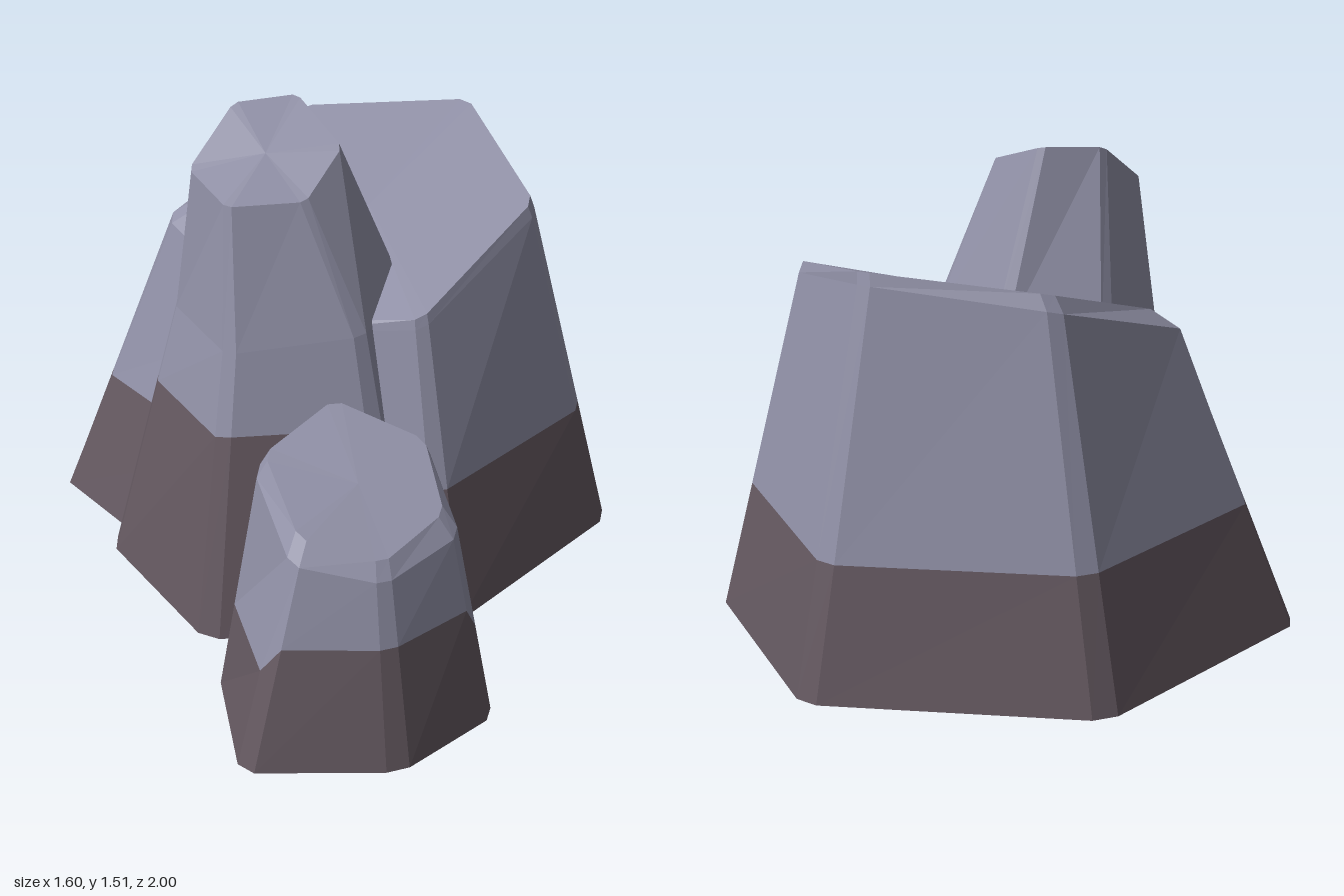
import * as THREE from 'three';

const stone = new THREE.MeshStandardMaterial({ color: 0x9090a6, flatShading: true, side: THREE.DoubleSide });
stone.name = 'greyStone';
const earth = new THREE.MeshStandardMaterial({ color: 0x645860, flatShading: true, side: THREE.DoubleSide });
earth.name = 'brownEarth';

// Corners run clockwise seen from above; each is cut into two points.
function chamfer(corners, cut) {
  const p = corners.map((c) => new THREE.Vector3(...c));
  const n = p.length;
  return p.flatMap((c, i) => [
    c.clone().lerp(p[(i + n - 1) % n], cut),
    c.clone().lerp(p[(i + 1) % n], cut),
  ]);
}

// Walls between successive rings, with an optional lid on the last one.
function skin(rings, lid) {
  const pts = [];
  for (let r = 0; r < rings.length - 1; r++) {
    const low = rings[r], high = rings[r + 1];
    low.forEach((a, i) => {
      const j = (i + 1) % low.length;
      pts.push(low[j], a, high[i], low[j], high[i], high[j]);
    });
  }
  if (lid) {
    const top = rings[rings.length - 1];
    const centre = new THREE.Vector3();
    top.forEach((v) => centre.addScaledVector(v, 1 / top.length));
    top.forEach((v, i) => pts.push(centre, top[(i + 1) % top.length], v));
  }
  const g = new THREE.BufferGeometry().setFromPoints(pts);
  g.computeVertexNormals();
  return g;
}

// A rock: brown foot up to the colour line (one height per side), grey above.
function rock(name, { base, shoulder, cap, line, cut }) {
  const foot = chamfer(base, cut);
  const mid = chamfer(shoulder, cut);
  const top = chamfer(cap, cut);
  const edge = foot.map((v, i) => {
    const side = Math.floor(((i + 11) % 12) / 2);
    return v.clone().lerp(mid[i], (line[side] - v.y) / (mid[i].y - v.y));
  });
  const group = new THREE.Group();
  group.name = name;
  const lower = new THREE.Mesh(skin([foot, edge], false), earth);
  lower.name = name + 'Foot';
  const upper = new THREE.Mesh(skin([edge, mid, top], true), stone);
  upper.name = name + 'Top';
  group.add(lower, upper);
  return group;
}

export function createModel() {
  const model = new THREE.Group();
  model.name = 'rockCluster';

  // Broad boulder with a sloping top
  model.add(rock('largeRock', {
    base: [[0.11, 0.1, -1.01], [0.8, 0.1, -0.51], [0.69, 0.1, 0.28], [-0.02, 0.1, 0.58], [-0.6, 0.1, 0.03], [-0.74, 0.1, -0.71]],
    shoulder: [[0.115, 1.19, -0.72], [0.55, 1.25, -0.41], [0.49, 1.14, 0.13], [0, 0.96, 0.33], [-0.32, 0.9, 0.05], [-0.41, 1.02, -0.56]],
    cap: [[0.12, 1.235, -0.69], [0.545, 1.285, -0.4], [0.48, 1.175, 0.12], [0, 0.99, 0.32], [-0.28, 0.93, 0.06], [-0.33, 1.08, -0.52]],
    line: [0.49, 0.49, 0.49, 0.49, 0.49, 0.49],
    cut: 0.05,
  }));

  // Tall leaning spire
  model.add(rock('tallRock', {
    base: [[-0.23, 0.08, -0.64], [0.26, 0.08, -0.42], [0.33, 0.08, 0.2], [-0.13, 0.08, 0.5], [-0.69, 0.08, 0.29], [-0.74, 0.08, -0.32]],
    shoulder: [[-0.24, 0.95, -0.42], [0.04, 1.0, -0.27], [0.08, 0.97, 0.07], [-0.16, 0.95, 0.27], [-0.53, 0.92, 0.14], [-0.54, 0.92, -0.22]],
    cap: [[-0.31, 1.5, -0.26], [-0.13, 1.51, -0.21], [-0.1, 1.43, 0.02], [-0.26, 1.33, 0.11], [-0.475, 1.33, 0.04], [-0.495, 1.365, -0.17]],
    line: [0.66, 0.66, 0.66, 0.68, 0.67, 0.66],
    cut: 0.07,
  }));

  // Small front stone with a bevelled top
  model.add(rock('smallRock', {
    base: [[-0.33, 0, 0.26], [0.01, 0, 0.49], [-0.06, 0, 0.9], [-0.42, 0, 1.01], [-0.82, 0, 0.81], [-0.68, 0, 0.36]],
    shoulder: [[-0.32, 0.8, 0.36], [-0.1, 0.72, 0.55], [-0.14, 0.59, 0.82], [-0.41, 0.55, 0.89], [-0.63, 0.6, 0.76], [-0.59, 0.72, 0.44]],
    cap: [[-0.31, 0.84, 0.38], [-0.12, 0.76, 0.57], [-0.17, 0.65, 0.78], [-0.4, 0.6, 0.86], [-0.59, 0.66, 0.73], [-0.56, 0.77, 0.45]],
    line: [0.28, 0.28, 0.36, 0.36, 0.28, 0.28],
    cut: 0.09,
  }));

  return model;
}
